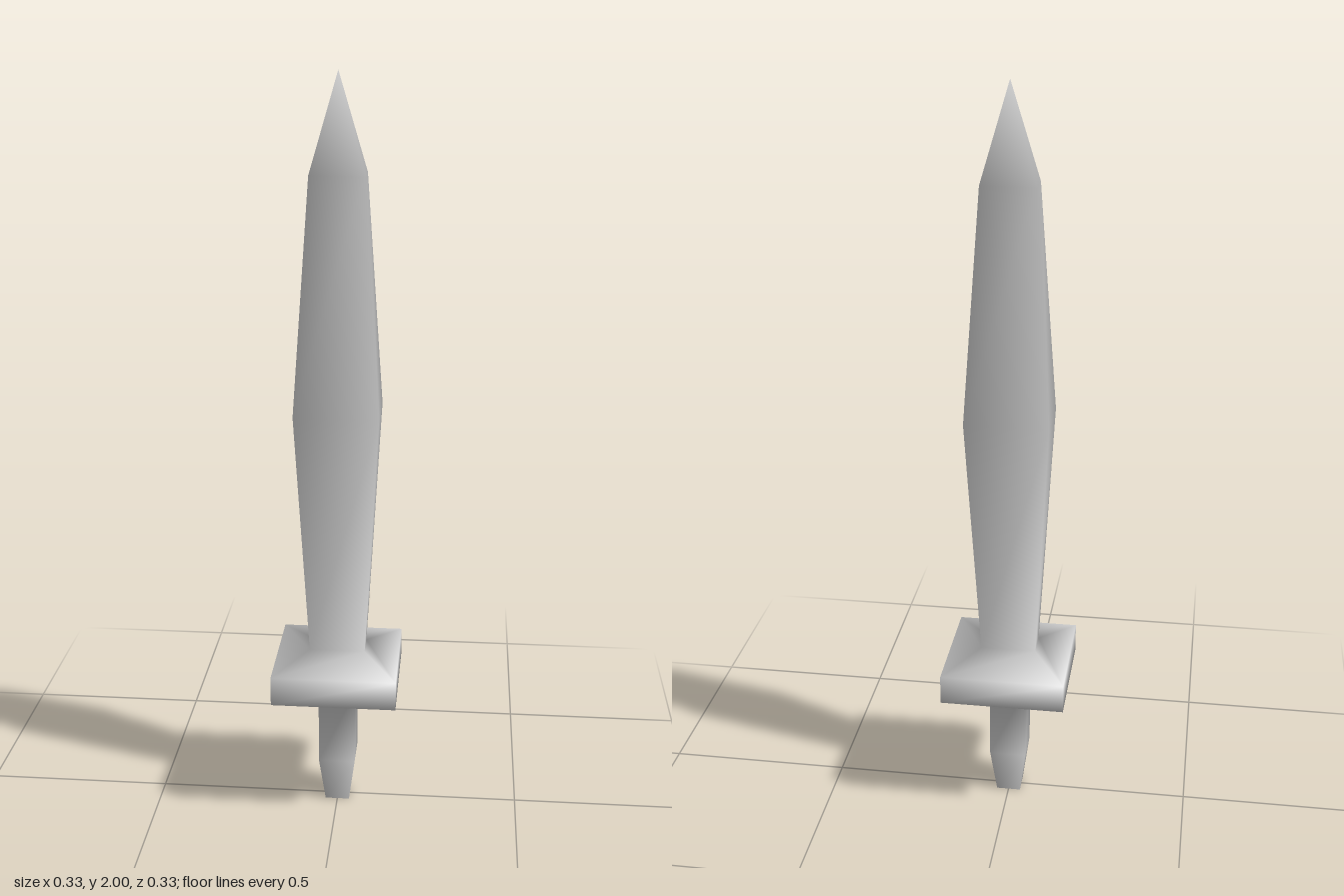
import * as THREE from 'three';

// Rectangular cross-sections from pommel to shoulder of the point: [y, half width, half depth]
const SECTIONS = [
  [0, 0.033, 0.033],
  [0.13, 0.05, 0.05],
  [0.345, 0.05, 0.05],
  [0.36, 0.167, 0.167],
  [0.44, 0.167, 0.167],
  [0.465, 0.075, 0.037],
  [1.14, 0.111, 0.077],
  [1.75, 0.071, 0.037],
];
const CORNERS = [[-1, 1], [1, 1], [1, -1], [-1, -1]];
const TIP_Y = 2;

export function createModel() {
  const group = new THREE.Group();
  group.name = 'shortSword';
  const material = new THREE.MeshStandardMaterial({ color: 0xcccccc });

  // Four corners per section, plus one vertex for the tip
  const points = [];
  for (const [y, w, d] of SECTIONS) {
    for (const [sx, sz] of CORNERS) points.push(sx * w, y, sz * d);
  }
  points.push(0, TIP_Y, 0);
  const tip = SECTIONS.length * 4;

  // Side faces between sections first..last
  const sides = (first, last) => {
    const index = [];
    for (let s = first; s < last; s++) {
      for (let i = 0; i < 4; i++) {
        const a = s * 4 + i, b = s * 4 + (i + 1) % 4;
        index.push(a, b, b + 4, a, b + 4, a + 4);
      }
    }
    return index;
  };

  const point = [];
  for (let i = 0; i < 4; i++) point.push(tip - 4 + i, tip - 4 + (i + 1) % 4, tip);

  const parts = {
    grip: [0, 2, 1, 0, 3, 2, ...sides(0, 2)],
    guard: sides(2, 5),
    blade: [...sides(5, 7), ...point],
  };

  // Smooth normals run across the whole sword, so the parts share them
  const whole = new THREE.BufferGeometry();
  whole.setAttribute('position', new THREE.Float32BufferAttribute(points, 3));
  whole.setIndex(Object.values(parts).flat());
  whole.computeVertexNormals();

  for (const [name, index] of Object.entries(parts)) {
    const geometry = whole.clone();
    geometry.setIndex(index);
    const mesh = new THREE.Mesh(geometry, material);
    mesh.name = name;
    group.add(mesh);
  }
  return group;
}
